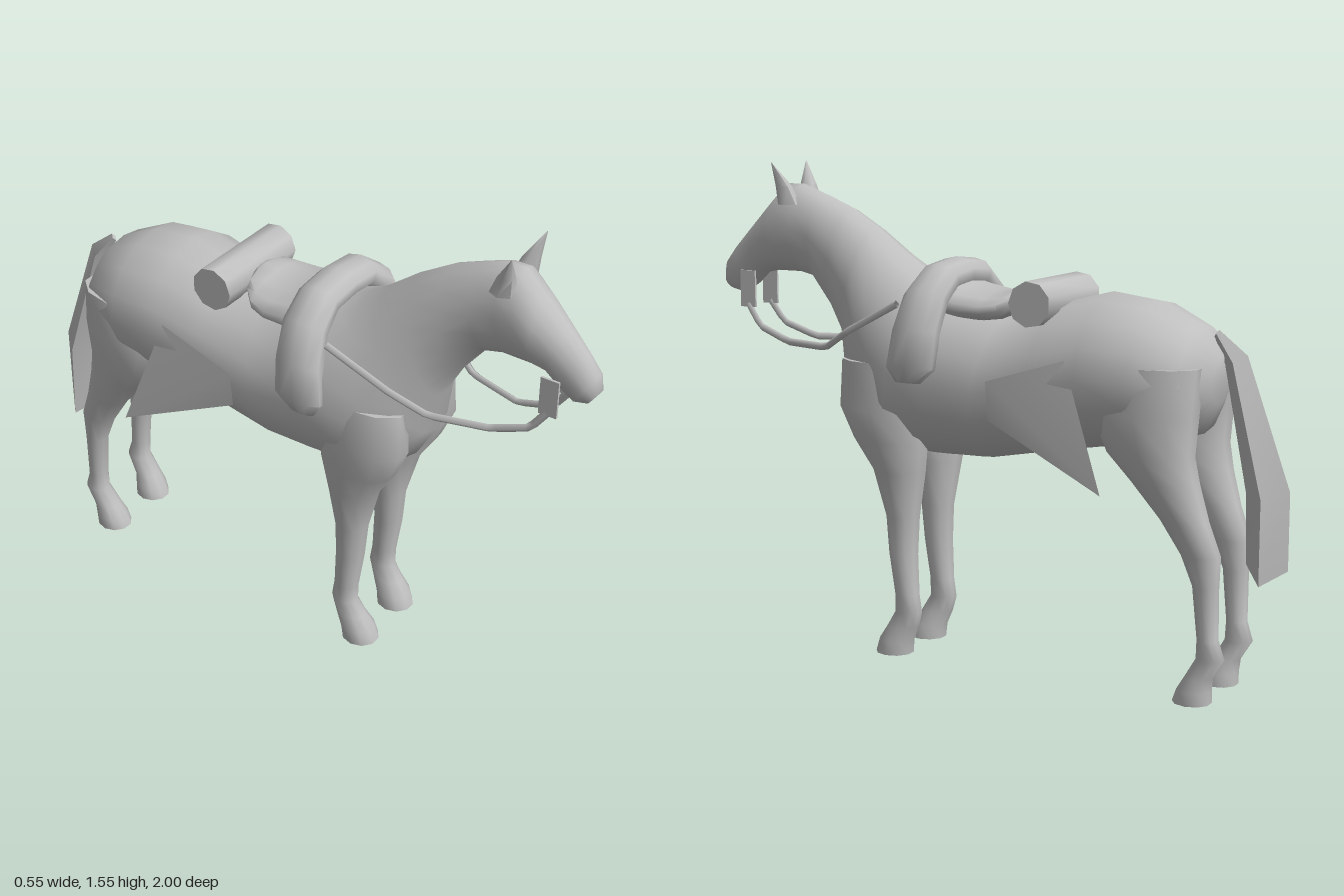
import * as THREE from 'three';
import { toCreasedNormals } from 'three/addons/utils/BufferGeometryUtils.js';

const coat = new THREE.MeshStandardMaterial({ color: 0xbfbfbf, side: THREE.DoubleSide });
coat.name = 'plain grey';

// Skin closed rings of equal length, cap both ends, and wind the faces outwards.
function loft(rings, crease = 1.1) {
  const n = rings[0].length, pts = rings.flat(), idx = [];
  for (let i = 0; i < rings.length - 1; i++)
    for (let j = 0; j < n; j++) {
      const a = i * n + j, b = i * n + (j + 1) % n;
      idx.push(a, b, a + n, b, b + n, a + n);
    }
  [[rings[0], 0, true], [rings.at(-1), (rings.length - 1) * n, false]].forEach(([ring, base, first]) => {
    const mid = ring.reduce((s, p) => s.add(p), new THREE.Vector3()).divideScalar(n);
    const c = pts.push(mid) - 1;
    for (let j = 0; j < n; j++) {
      const a = base + j, b = base + (j + 1) % n;
      idx.push(...(first ? [c, b, a] : [c, a, b]));
    }
  });
  let volume = 0;
  for (let i = 0; i < idx.length; i += 3)
    volume += pts[idx[i]].dot(pts[idx[i + 1]].clone().cross(pts[idx[i + 2]]));
  if (volume < 0) idx.reverse();
  const g = new THREE.BufferGeometry().setFromPoints(pts);
  g.setIndex(idx);
  return toCreasedNormals(g, crease);
}

// Ellipse around centre c with half axes u and v.
function ellipse(c, u, v, n) {
  return Array.from({ length: n }, (_, i) => {
    const a = (i / n) * Math.PI * 2;
    return c.clone().addScaledVector(u, Math.cos(a)).addScaledVector(v, Math.sin(a));
  });
}
const V = (x, y, z) => new THREE.Vector3(x, y, z);

// Ring between a top and a bottom point on the centre plane, with half width w.
const spineRing = ([tz, ty, bz, by, w], n = 16) =>
  ellipse(V(0, (ty + by) / 2, (tz + bz) / 2), V(0, (ty - by) / 2, (tz - bz) / 2), V(w, 0, 0), n);

// Level ring of a leg, from its height, front z, back z, centre x and half width.
const legRing = (s) => ([y, front, back, x, w]) =>
  ellipse(V(s * x, y, (front + back) / 2), V(w, 0, 0), V(0, 0, (front - back) / 2), 10);

export function createModel() {
  const model = new THREE.Group();
  model.name = 'saddledHorse';
  const add = (name, geometry) => {
    const mesh = new THREE.Mesh(geometry, coat);
    mesh.name = name;
    model.add(mesh);
    return mesh;
  };

  // Trunk, neck and head: top z, top y, bottom z, bottom y, half width
  const trunk = [
    [-0.79, 1.03, -0.775, 0.88, 0.08], [-0.72, 1.11, -0.73, 0.79, 0.19],
    [-0.59, 1.175, -0.57, 0.74, 0.24], [-0.43, 1.195, -0.40, 0.72, 0.245],
    [-0.27, 1.155, -0.23, 0.69, 0.23], [-0.10, 1.12, -0.02, 0.65, 0.23],
    [0.08, 1.18, 0.14, 0.645, 0.235], [0.18, 1.21, 0.29, 0.65, 0.235],
    [0.23, 1.235, 0.41, 0.72, 0.205], [0.30, 1.28, 0.48, 0.84, 0.17],
    [0.40, 1.355, 0.50, 0.98, 0.13], [0.50, 1.415, 0.56, 1.09, 0.105],
    [0.60, 1.455, 0.635, 1.185, 0.09], [0.68, 1.485, 0.70, 1.20, 0.085],
    [0.74, 1.485, 0.75, 1.20, 0.088], [0.81, 1.415, 0.79, 1.20, 0.08],
    [0.88, 1.345, 0.835, 1.19, 0.065], [0.95, 1.275, 0.875, 1.15, 0.052],
    [0.99, 1.225, 0.92, 1.12, 0.048], [0.998, 1.175, 0.965, 1.13, 0.03],
  ];
  add('bodyAndHead', loft(trunk.map((r) => spineRing(r)), 1.3));

  // Tail with a diamond section: front z, y, back z, y, side y, half width
  const tail = [
    [-0.755, 1.08, -0.77, 1.10, 1.09, 0.008], [-0.79, 1.0, -0.86, 1.03, 1.01, 0.03],
    [-0.865, 0.62, -1.0, 0.64, 0.62, 0.06], [-0.87, 0.41, -1.0, 0.405, 0.365, 0.067],
  ];
  add('tail', loft(tail.map(([fz, fy, bz, by, sy, w]) => {
    const z = (fz + bz) / 2;
    return [V(0, fy, fz), V(w, sy, z), V(0, by, bz), V(-w, sy, z)];
  }), 0.6));

  const foreLeg = [
    [0.95, 0.45, 0.13, 0.13, 0.08], [0.8, 0.455, 0.15, 0.135, 0.085],
    [0.7, 0.41, 0.155, 0.125, 0.085], [0.6, 0.345, 0.17, 0.115, 0.072],
    [0.45, 0.305, 0.195, 0.108, 0.052], [0.33, 0.295, 0.20, 0.11, 0.046],
    [0.2, 0.275, 0.195, 0.11, 0.04], [0.14, 0.275, 0.185, 0.11, 0.036],
    [0.09, 0.305, 0.20, 0.108, 0.042], [0.045, 0.335, 0.22, 0.105, 0.055], [0, 0.35, 0.225, 0.103, 0.058],
  ];
  const hindLeg = [
    [1.0, -0.46, -0.77, 0.12, 0.10], [0.86, -0.43, -0.765, 0.135, 0.095],
    [0.74, -0.48, -0.755, 0.135, 0.08], [0.66, -0.555, -0.77, 0.13, 0.068],
    [0.55, -0.65, -0.80, 0.125, 0.053], [0.45, -0.715, -0.837, 0.12, 0.043],
    [0.36, -0.752, -0.832, 0.118, 0.036], [0.2, -0.768, -0.832, 0.115, 0.034],
    [0.14, -0.765, -0.852, 0.113, 0.036], [0.08, -0.73, -0.815, 0.11, 0.044],
    [0.04, -0.705, -0.81, 0.107, 0.054], [0, -0.69, -0.81, 0.105, 0.056],
  ];

  for (const s of [1, -1]) {
    const side = s > 0 ? 'left' : 'right';
    add(side + 'ForeLeg', loft(foreLeg.map(legRing(s))));
    add(side + 'HindLeg', loft(hindLeg.map(legRing(s))));

    // Pointed ear
    add(side + 'Ear', loft([
      ellipse(V(s * 0.06, 1.42, 0.70), V(0.032, 0, 0), V(0, 0, 0.04), 6),
      ellipse(V(s * 0.07, 1.48, 0.715), V(0.024, 0, 0), V(0, 0, 0.027), 6),
      ellipse(V(s * 0.098, 1.555, 0.742), V(0.001, 0, 0), V(0, 0, 0.001), 6),
    ]));

    // Bit strap and rein
    add(side + 'BitStrap', new THREE.BoxGeometry(0.008, 0.12, 0.058)).position.set(s * 0.062, 1.14, 0.87);
    const path = new THREE.CurvePath();
    const rein = [
      [0.062, 1.09, 0.87], [0.068, 1.02, 0.82], [0.08, 0.977, 0.70],
      [0.13, 0.977, 0.52], [0.172, 1.04, 0.41], [0.2, 1.14, 0.21],
    ].map(([x, y, z]) => V(s * x, y, z));
    for (let i = 1; i < rein.length; i++) path.add(new THREE.LineCurve3(rein[i - 1], rein[i]));
    add(side + 'Rein', new THREE.TubeGeometry(path, 24, 0.012, 4));

    // Hanging cloth corner behind the saddle
    const cloth = new THREE.BufferGeometry().setFromPoints([
      V(s * 0.235, 0.93, -0.12), V(s * 0.23, 1.01, -0.38), V(s * 0.272, 0.63, -0.52), V(s * 0.222, 0.81, -0.12),
    ]);
    cloth.setIndex(s > 0 ? [0, 3, 2, 0, 2, 1] : [0, 2, 3, 0, 1, 2]);
    cloth.computeVertexNormals();
    add(side + 'SaddleCloth', cloth);
  }

  // Padded roll over the withers: x, y, z, slope of the section, thickness, half depth
  const half = [
    [0.235, 0.905, 0.15, 0.1, 0.02, 0.045], [0.235, 0.95, 0.14, 0.1, 0.04, 0.085],
    [0.22, 1.06, 0.13, 0.3, 0.046, 0.08], [0.175, 1.16, 0.12, 0.7, 0.05, 0.075],
    [0.1, 1.215, 0.115, 1.2, 0.05, 0.07],
  ];
  const rollRing = (s) => ([x, y, z, a, t, d]) =>
    ellipse(V(s * x, y, z), V(s * Math.cos(a) * t, Math.sin(a) * t, 0), V(0, 0, d), 10);
  add('saddleRoll', loft([
    ...half.map(rollRing(1)),
    ellipse(V(0, 1.225, 0.115), V(0, 0.05, 0), V(0, 0, 0.07), 10),
    ...half.slice().reverse().map(rollRing(-1)).map((r) => r),
  ].map((ring) => {
    // start every ring at its outermost point, running towards +z
    return ring;
  })));

  // Seat with a raised, rounded back
  const seat = [
    [0.10, 1.215, 0.09, 1.08, 0.165], [0.03, 1.195, 0.03, 1.075, 0.165],
    [-0.05, 1.18, -0.05, 1.08, 0.16], [-0.11, 1.185, -0.10, 1.09, 0.145],
    [-0.15, 1.2, -0.135, 1.11, 0.11], [-0.165, 1.195, -0.16, 1.13, 0.06],
  ];
  add('seat', loft(seat.map((r) => spineRing(r, 14))));

  // Bedroll behind the seat
  const roll = new THREE.CylinderGeometry(0.07, 0.07, 0.34, 9);
  roll.rotateZ(Math.PI / 2);
  add('bedroll', toCreasedNormals(roll, 1)).position.set(0, 1.16, -0.232);

  return model;
}
